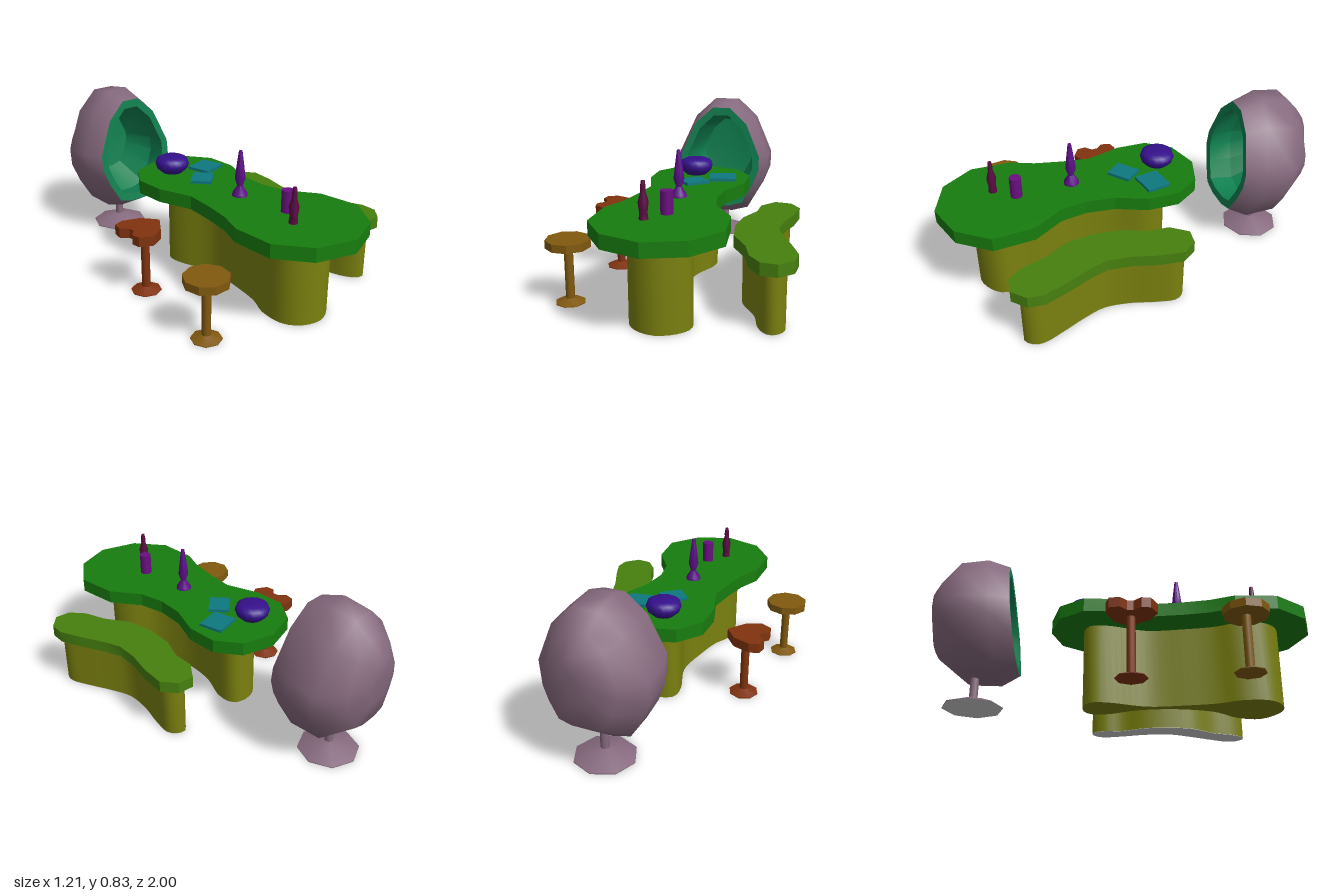
import * as THREE from 'three';
import { toCreasedNormals } from 'three/addons/utils/BufferGeometryUtils.js';

const mat = (color) => new THREE.MeshStandardMaterial({ color });
const GREY = mat(0xcccccc);

function add(parent, name, geometry, material, x = 0, y = 0, z = 0) {
  const mesh = new THREE.Mesh(geometry, material);
  mesh.name = name;
  mesh.position.set(x, y, z);
  parent.add(mesh);
  return mesh;
}

// Plan outline of [x, z] points raised to a slab between two heights
function slab(points, y0, y1, crease = 0.2) {
  const shape = new THREE.Shape(points.map(([x, z]) => new THREE.Vector2(x, -z)));
  const geo = new THREE.ExtrudeGeometry(shape, { depth: y1 - y0, bevelEnabled: false });
  return toCreasedNormals(geo.rotateX(-Math.PI / 2).translate(0, y0, 0), crease);
}

// Smooth outline lying a fixed distance inside a clockwise plan outline
function inset(points, d) {
  const n = points.length;
  const moved = points.map(([x, z], i) => {
    const p = points[(i + n - 1) % n], q = points[(i + 1) % n];
    const dx = q[0] - p[0], dz = q[1] - p[1], l = Math.hypot(dx, dz);
    return new THREE.Vector3(x - (d * dz) / l, 0, z + (d * dx) / l);
  });
  const curve = new THREE.CatmullRomCurve3(moved, true);
  return curve.getSpacedPoints(72).slice(0, 72).map((p) => [p.x, p.z]);
}

function lathe(profile, sides, crease = 0.9) {
  const pts = profile.map(([r, y]) => new THREE.Vector2(r, y));
  return toCreasedNormals(new THREE.LatheGeometry(pts, sides), crease);
}

// Half egg outline: [width fraction, height fraction], bottom to top
const EGG = [[0.25, 0], [0.6, 0.04], [0.85, 0.22], [1, 0.38], [1, 0.52], [0.65, 0.84], [0.22, 1]];
const EGG_RING = [...EGG, ...EGG.map(([u, v]) => [-u, v]).reverse()];

// Skin over egg rings, each [half width, bottom y, top y, bottom z, top z]
function eggSkin(rings, inward, crease) {
  const pos = [], idx = [], n = EGG_RING.length;
  for (const [w, y0, y1, z0, z1] of rings)
    for (const [u, v] of EGG_RING) pos.push(u * w, y0 + (y1 - y0) * v, z0 + (z1 - z0) * v);
  for (let i = 0; i < rings.length - 1; i++)
    for (let j = 0; j < n; j++) {
      const a = i * n + j, b = i * n + ((j + 1) % n), c = a + n, d = b + n;
      if (inward) idx.push(a, b, c, b, d, c);
      else idx.push(a, c, b, b, c, d);
    }
  const geo = new THREE.BufferGeometry();
  geo.setAttribute('position', new THREE.Float32BufferAttribute(pos, 3));
  geo.setIndex(idx);
  return toCreasedNormals(geo, crease);
}

const TABLE = [
  [0, -0.365], [0.16, -0.315], [0.245, -0.19], [0.245, -0.03], [0.18, 0.13], [0.165, 0.275], [0.19, 0.41],
  [0.29, 0.56], [0.31, 0.77], [0.19, 0.93], [0, 0.995], [-0.195, 0.93], [-0.31, 0.77], [-0.31, 0.56],
  [-0.26, 0.44], [-0.23, 0.3], [-0.21, 0.15], [-0.265, -0.03], [-0.265, -0.19], [-0.175, -0.315],
];
const BENCH = [
  [0.39, -0.195], [0.475, -0.185], [0.53, -0.11], [0.515, 0.015], [0.48, 0.145], [0.47, 0.265], [0.5, 0.355],
  [0.56, 0.49], [0.602, 0.6], [0.595, 0.68], [0.53, 0.745], [0.45, 0.735], [0.39, 0.66], [0.355, 0.545],
  [0.275, 0.41], [0.255, 0.265], [0.27, 0.12], [0.32, 0], [0.325, -0.11],
];
const HEART = [
  [-0.32, 0.035], [-0.39, 0.13], [-0.465, 0.165], [-0.525, 0.13], [-0.53, 0.085], [-0.495, 0.05],
  [-0.498, 0.02], [-0.532, -0.015], [-0.522, -0.065], [-0.47, -0.08], [-0.38, -0.045],
];

// Post on a low flared foot
function pedestal(parent, name, r, footHeight, top, material, x, z, under = material) {
  const foot = lathe([[r, 0], [r, 0.004], [r * 0.5, footHeight * 0.7], [0.022, footHeight]], 8);
  add(parent, name + 'Foot', foot, material, x, 0, z);
  add(parent, name + 'FootBottom', new THREE.CircleGeometry(r, 8, Math.PI / 2).rotateX(Math.PI / 2), under, x, 0, z);
  const h = top - footHeight * 0.8;
  add(parent, name + 'Post', new THREE.CylinderGeometry(0.022, 0.022, h, 12), material, x, top - h / 2, z);
}

export function createModel() {
  const model = new THREE.Group();
  model.name = 'diningSet';
  const group = (name) => {
    const g = new THREE.Group();
    g.name = name;
    model.add(g);
    return g;
  };
  const olive = mat(0x7a800f);

  // Table
  const table = group('table');
  add(table, 'tableTop', slab(TABLE, 0.42, 0.49), mat(0x187d0f));
  add(table, 'tableBase', slab(inset(TABLE, 0.17), 0, 0.42, 0.8), olive);

  // Bench, its base grey underneath
  const bench = group('bench');
  const benchOutline = inset(BENCH, 0.048);
  add(bench, 'benchSeat', slab(BENCH, 0.29, 0.35, 0.5), mat(0x47800f));
  add(bench, 'benchBase', slab(benchOutline, 0.002, 0.29, 0.8), olive);
  add(bench, 'benchBottom', slab(benchOutline, 0, 0.002), GREY);

  // Stools
  const heart = group('heartStool'), rust = mat(0x80330f);
  add(heart, 'heartSeat', slab(HEART, 0.31, 0.36, 0.5), rust);
  pedestal(heart, 'heartStool', 0.078, 0.025, 0.31, rust, -0.42, 0.04);
  const round = group('roundStool'), ochre = mat(0x80590f);
  const seat = toCreasedNormals(new THREE.CylinderGeometry(0.11, 0.11, 0.04, 9), 0.2);
  add(round, 'roundSeat', seat, ochre, -0.495, 0.305, 0.57).rotation.y = Math.PI;
  pedestal(round, 'roundStool', 0.075, 0.025, 0.29, ochre, -0.495, 0.57);

  // Egg chair: closed shell, then rim and hollow
  const chair = group('eggChair'), mauve = mat(0x866a7e);
  const rim = [0.235, 0.21, 0.79, -0.532, -0.6];
  add(chair, 'chairShell', eggSkin([
    rim,
    [0.27, 0.155, 0.83, -0.63, -0.72],
    [0.27, 0.16, 0.81, -0.8, -0.865],
    [0.18, 0.285, 0.73, -0.955, -0.94],
    [0.08, 0.42, 0.65, -0.985, -1],
    [0, 0.55, 0.55, -0.995, -0.995],
  ], false, 1.1), mauve);
  add(chair, 'chairHollow', eggSkin([
    rim,
    [0.195, 0.25, 0.745, -0.54, -0.597],
    [0.215, 0.22, 0.755, -0.68, -0.72],
    [0.15, 0.32, 0.68, -0.85, -0.87],
    [0, 0.5, 0.5, -0.88, -0.88],
  ], true, 0.6), mat(0x0f8050));
  pedestal(chair, 'chair', 0.155, 0.05, 0.18, mauve, 0, -0.75, GREY);

  // Things on the table
  const things = group('tableware');
  add(things, 'tallBottle', lathe([[0, 0], [0.04, 0], [0.038, 0.012], [0.014, 0.05], [0.027, 0.09],
    [0.02, 0.15], [0.009, 0.232], [0, 0.235]], 12), mat(0x5c0f88), -0.02, 0.49, 0.3);
  add(things, 'smallBottle', lathe([[0, 0], [0.022, 0], [0.019, 0.03], [0.025, 0.08], [0.012, 0.125],
    [0.013, 0.145], [0.009, 0.175], [0, 0.175]], 12), mat(0x5a0a42), -0.075, 0.49, 0.695);
  add(things, 'cup', new THREE.CylinderGeometry(0.03, 0.03, 0.11, 14), mat(0x6a0f80), 0.002, 0.545, 0.59);
  add(things, 'roundBowl', lathe([[0, 0], [0.055, 0], [0.082, 0.025], [0.09, 0.048], [0.082, 0.072],
    [0.06, 0.084], [0, 0.078]], 16), mat(0x35108c), -0.05, 0.49, -0.18);
  const teal = mat(0x0f7880);
  [[0.115, -0.095, 0.14, 0.125, 0.19], [-0.015, 0.02, 0.127, 0.107, 0.7]].forEach(([x, z, w, d, turn], i) => {
    add(things, 'mat' + (i + 1), new THREE.BoxGeometry(w, 0.015, d), teal, x, 0.4975, z).rotation.y = turn;
  });
  return model;
}
